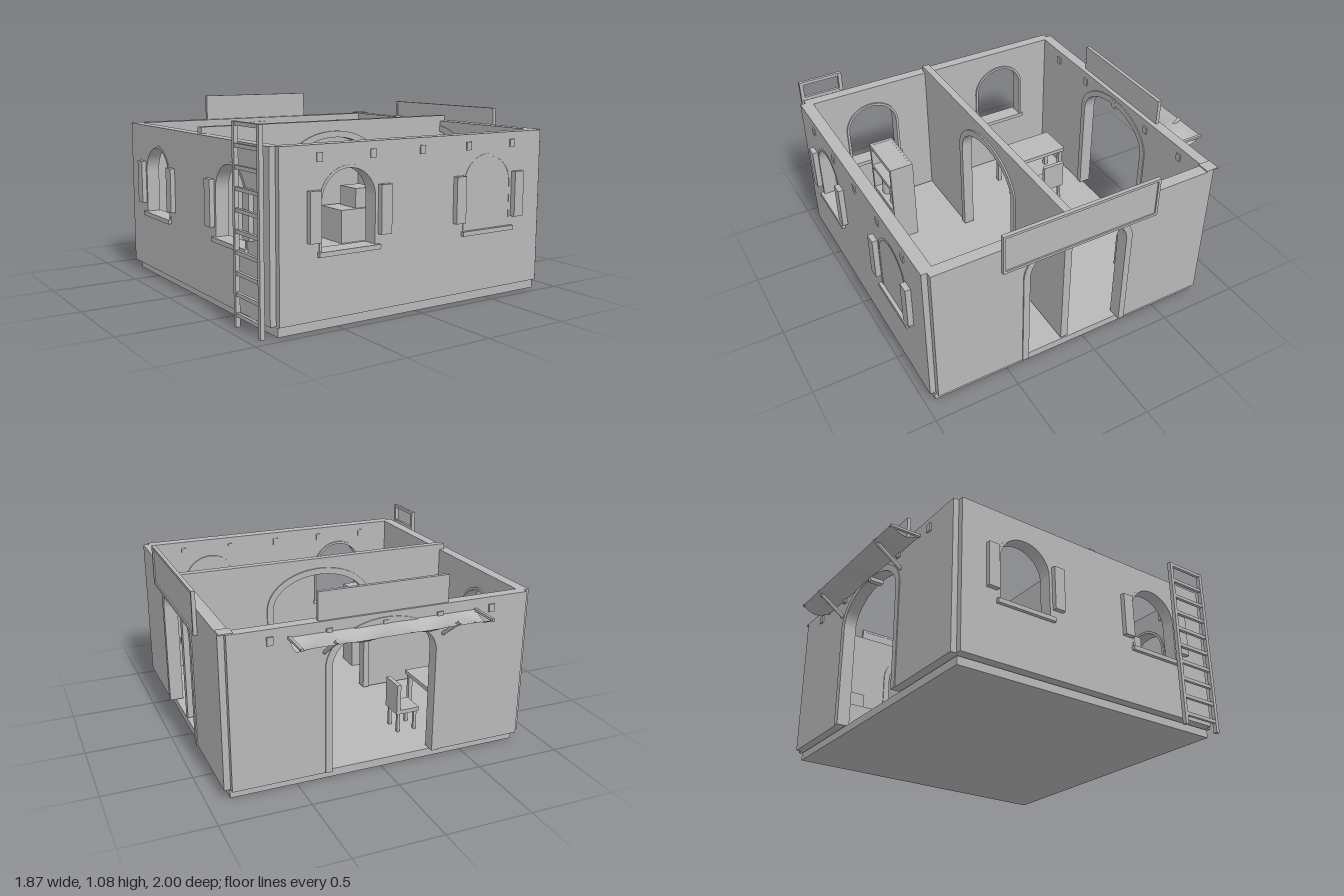
import * as THREE from 'three';

const stone = new THREE.MeshStandardMaterial({ color: 0xb8b8b8 });
stone.name = 'plain grey';
const cloth = stone.clone();
cloth.name = 'plain grey cloth';
cloth.side = THREE.DoubleSide;

const BASE = 0.055, TOP = 0.925;

export function createModel() {
  const model = new THREE.Group();

  const add = (name, geometry, parent = model, material = stone) => {
    const mesh = new THREE.Mesh(geometry, material);
    mesh.name = name;
    parent.add(mesh);
    return mesh;
  };

  // Box given by its minimum and maximum on each axis
  const box = (name, x0, x1, y0, y1, z0, z1, parent = model) => {
    const mesh = add(name, new THREE.BoxGeometry(x1 - x0, y1 - y0, z1 - z0), parent);
    mesh.position.set((x0 + x1) / 2, (y0 + y1) / 2, (z0 + z1) / 2);
    return mesh;
  };

  const group = (name) => {
    const g = new THREE.Group();
    g.name = name;
    model.add(g);
    return g;
  };

  // Adds an arched outline to a path, from its lower right to its lower left corner
  const arch = (path, c, r, bottom, spring, top) => {
    path.lineTo(c + r, bottom);
    path.lineTo(c + r, spring);
    path.absellipse(c, spring, r, top - spring, 0, Math.PI, false, 0);
    path.lineTo(c - r, bottom);
  };

  const extrude = (shape, depth) =>
    new THREE.ExtrudeGeometry(shape, { depth, bevelEnabled: false, curveSegments: 24 });

  // Wall from a to b, with an optional arched doorway and arched windows
  const wallShape = (a, b, top, door, windows = []) => {
    const s = new THREE.Shape();
    s.moveTo(b, BASE);
    s.lineTo(b, top);
    s.lineTo(a, top);
    s.lineTo(a, BASE);
    if (door !== undefined) {
      s.lineTo(door - 0.31, BASE);
      s.lineTo(door - 0.31, 0.67);
      s.absellipse(door, 0.67, 0.31, 0.2, Math.PI, 0, true, 0);
      s.lineTo(door + 0.31, BASE);
    }
    for (const c of windows) {
      const h = new THREE.Path();
      h.moveTo(c - 0.165, 0.4);
      arch(h, c, 0.165, 0.4, 0.645, 0.805);
      s.holes.push(h);
    }
    return s;
  };

  // Arched band around an opening
  const trimShape = (c, r, w, bottom, spring, top) => {
    const s = new THREE.Shape();
    s.moveTo(c + r, bottom);
    arch(s, c, r + w, bottom, spring, top + w);
    s.lineTo(c - r, bottom);
    s.lineTo(c - r, spring);
    s.absellipse(c, spring, r, top - spring, Math.PI, 0, true, 0);
    return s;
  };
  const doorTrim = (c) => trimShape(c, 0.302, 0.038, BASE, 0.67, 0.862);
  const windowTrim = (c) => trimShape(c, 0.16, 0.015, 0.4, 0.645, 0.8);

  // Places an extruded wall part facing z (at its low z) or facing x (at its high x)
  const alongX = (name, shape, z0, z1) => {
    add(name, extrude(shape, z1 - z0)).position.z = z0;
  };
  const alongZ = (name, shape, x0, x1) => {
    const mesh = add(name, extrude(shape, x1 - x0));
    mesh.rotation.y = -Math.PI / 2;
    mesh.position.x = x1;
  };

  // Floor and walls
  box('floor', -0.845, 0.872, 0, 0.046, -0.778, 0.942);
  alongX('frontWall', wallShape(-0.85, 0.87, TOP, undefined, [-0.45]), 0.895, 0.967);
  alongX('backWall', wallShape(-0.85, 0.87, TOP, 0.01), -0.818, -0.755);
  alongZ('leftEndWall', wallShape(-0.785, 0.935, TOP, undefined, [-0.39, 0.535]), -0.883, -0.818);
  alongZ('rightEndWall', wallShape(-0.785, 0.935, TOP, 0.08), 0.836, 0.905);
  alongX('dividerWall', wallShape(-0.85, 0.87, 0.96, 0.01), 0.102, 0.147);
  box('cornerCap', 0.83, 0.905, TOP, 0.932, -0.815, -0.74);

  // Trims around the doorways and windows
  alongX('backDoorTrim', doorTrim(0.01), -0.823, -0.748);
  alongX('dividerTrim', doorTrim(0.01), 0.093, 0.157);
  alongZ('sideDoorTrim', doorTrim(0.08), 0.83, 0.912);
  for (const c of [-0.45, 0.475]) alongX('frontWindowTrim', windowTrim(c), 0.885, 0.969);
  for (const c of [-0.39, 0.535]) alongZ('sideWindowTrim', windowTrim(c), -0.885, -0.808);

  // Shutters and sills
  for (const c of [-0.45, 0.475]) {
    box('frontSill', c - 0.185, c + 0.185, 0.375, 0.4, 0.88, 0.988);
    for (const s of [-1, 1]) {
      const m = c + s * 0.2125;
      box('frontShutter', m - 0.033, m + 0.033, 0.45, 0.705, 0.967, 0.998);
    }
  }
  for (const c of [-0.39, 0.535]) {
    box('sideSill', -0.903, -0.803, 0.375, 0.4, c - 0.185, c + 0.185);
    for (const s of [-1, 1]) {
      const m = c + s * 0.2125;
      box('sideShutter', -0.91, -0.883, 0.45, 0.705, m - 0.033, m + 0.033);
    }
  }

  // Beam ends showing through the front and back walls
  for (let i = -2; i <= 2; i++) {
    const x = 0.012 + i * 0.318;
    box('frontBeamEnd', x - 0.017, x + 0.017, 0.84, 0.885, 0.888, 0.974);
    box('backBeamEnd', x - 0.017, x + 0.017, 0.84, 0.885, -0.828, -0.747);
  }

  // Framed sign board on the side, plain board above the back wall
  const sign = group('sideSign');
  box('signPanel', 0.908, 0.92, 0.785, 1.02, -0.395, 0.545, sign);
  for (const y of [0.78, 1.01]) box('signFrameRail', 0.906, 0.928, y, y + 0.015, -0.4, 0.55, sign);
  for (const z of [-0.4, 0.535]) box('signFrameStile', 0.906, 0.928, 0.78, 1.025, z, z + 0.015, sign);
  box('backSign', -0.362, 0.385, 0.915, 1.08, -0.806, -0.784);

  // Rippled awning with two braces and end rods
  const awning = group('awning');
  const sheet = new THREE.PlaneGeometry(1.08, 0.18, 48, 8);
  sheet.rotateX(-Math.PI / 2);
  const p = sheet.attributes.position;
  for (let i = 0; i < p.count; i++) {
    const x = p.getX(i), t = (p.getZ(i) + 0.09) / 0.18;
    const sag = Math.sin(Math.PI * t);
    p.setY(i, 0.866 - 0.022 * sag + 0.018 * sag * Math.cos(x * 17));
  }
  sheet.translate(0.01, 0, -0.908);
  sheet.computeVertexNormals();
  add('awningCloth', sheet, awning, cloth);
  const rod = (name, x, y0, z0, y1, z1) => {
    const path = new THREE.LineCurve3(new THREE.Vector3(x, y0, z0), new THREE.Vector3(x, y1, z1));
    add(name, new THREE.TubeGeometry(path, 1, 0.011, 8), awning);
  };
  for (const x of [-0.332, 0.355]) rod('awningBrace', x, 0.755, -0.815, 0.882, -0.99);
  for (const x of [-0.525, 0.545]) box('awningEndRod', x - 0.008, x + 0.008, 0.858, 0.872, -0.998, -0.815, awning);

  // Ladder
  const ladder = group('ladder');
  for (const z of [0.668, 0.915]) box('ladderRail', -0.938, -0.914, 0, 1.03, z, z + 0.022, ladder);
  for (let i = 0; i < 10; i++) {
    const y = 1.01 - i * 0.106;
    box('ladderRung', -0.935, -0.917, y, y + 0.02, 0.675, 0.93, ladder);
  }

  // Table or seat on four legs
  const legged = (name, x0, x1, z0, z1, height, leg) => {
    const g = group(name);
    box('top', x0, x1, height - 0.025, height, z0, z1, g);
    for (const x of [x0 + 0.01, x1 - 0.01 - leg])
      for (const z of [z0 + 0.01, z1 - 0.01 - leg])
        box('leg', x, x + leg, 0.046, height - 0.02, z, z + leg, g);
    return g;
  };
  legged('diningTable', -0.635, -0.41, -0.68, -0.255, 0.3, 0.025);
  const chair = legged('chair', -0.355, -0.21, -0.545, -0.4, 0.19, 0.018);
  box('chairBack', -0.235, -0.21, 0.18, 0.35, -0.545, -0.4, chair);

  const bench = legged('sideTable', 0.32, 0.735, 0.6, 0.785, 0.29, 0.025);
  box('tableRearLip', 0.32, 0.735, 0.265, 0.31, 0.765, 0.785, bench);
  for (const x of [0.355, 0.572]) box('tableCrate', x, x + 0.12, 0.29, 0.395, 0.64, 0.745, bench);

  // Chest with a box on it
  box('chest', 0.5, 0.81, 0.046, 0.28, -0.73, -0.48);
  box('chestBox', 0.635, 0.8, 0.28, 0.42, -0.69, -0.5);

  // Open shelf unit with jars
  const shelf = group('shelfUnit');
  box('shelfBack', -0.705, -0.375, 0.046, 0.598, 0.46, 0.475, shelf);
  for (const x of [-0.705, -0.395]) box('shelfSide', x, x + 0.02, 0.046, 0.598, 0.46, 0.61, shelf);
  for (const y of [0.07, 0.247, 0.422, 0.572]) box('shelfBoard', -0.705, -0.375, y, y + 0.025, 0.46, 0.61, shelf);
  for (const x of [-0.6, -0.48]) {
    const jar = add('shelfJar', new THREE.CylinderGeometry(0.035, 0.04, 0.14, 16), shelf);
    jar.position.set(x, 0.342, 0.55);
  }
  return model;
}
